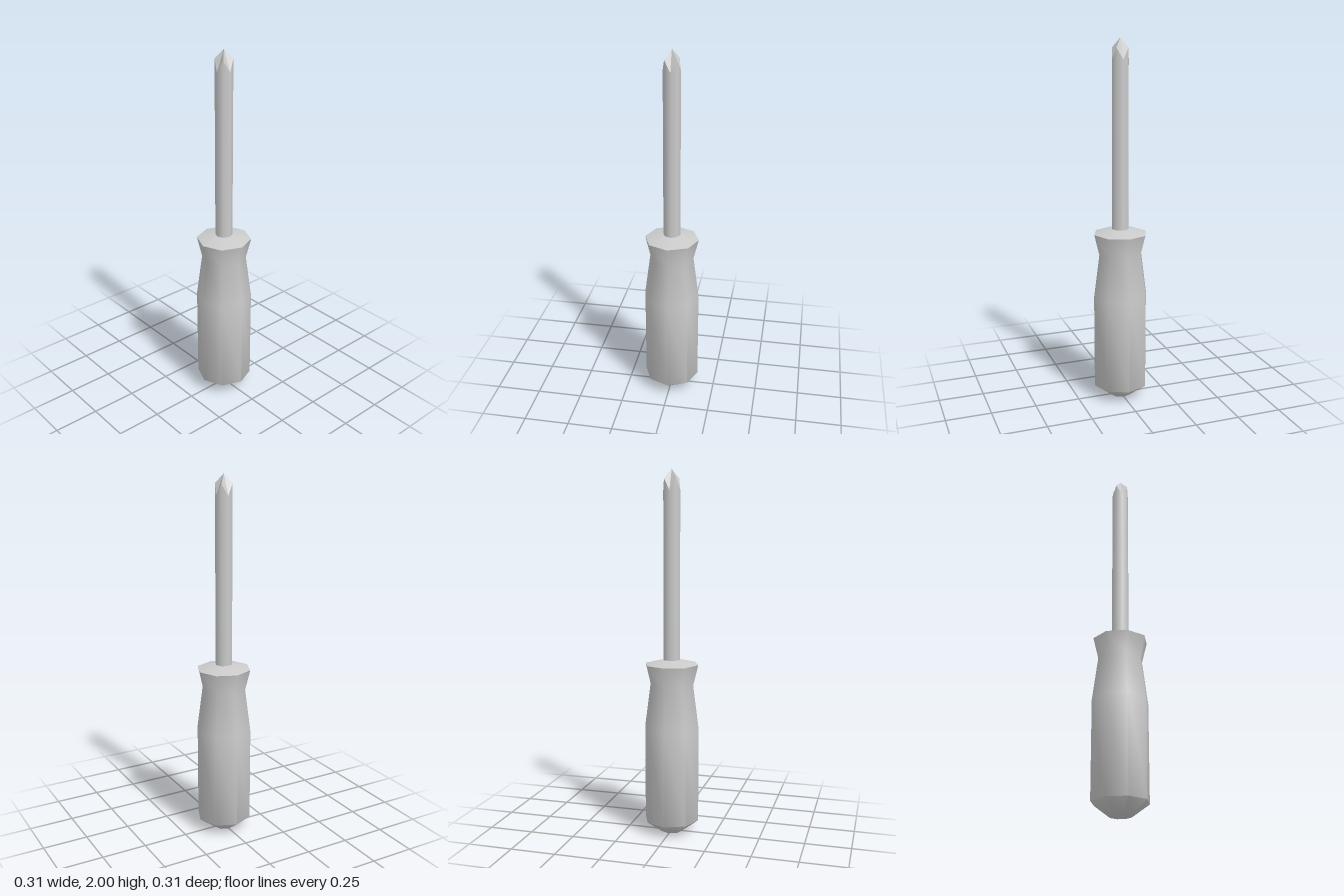
import * as THREE from 'three';
import { toCreasedNormals } from 'three/addons/utils/BufferGeometryUtils.js';

const SIDES = 8;
const SHAFT_R = 0.047;
const TIP_LOW = 1.89; // tip edge at the corners on the axes
const TIP_HIGH = 1.95; // tip edge at the diagonal corners

// Sets the ring of vertices near height y to a zigzag between the two tip heights
function zigzag(geometry, y) {
  const p = geometry.attributes.position;
  for (let i = 0; i < p.count; i++) {
    if (Math.abs(p.getY(i) - y) > 1e-4) continue;
    const onAxis = Math.min(Math.abs(p.getX(i)), Math.abs(p.getZ(i))) < 0.01;
    p.setY(i, onAxis ? TIP_LOW : TIP_HIGH);
  }
  return geometry;
}

export function createModel() {
  const group = new THREE.Group();
  group.name = 'screwdriver';
  const material = new THREE.MeshStandardMaterial({ color: 0xcccccc });
  const add = (name, geometry) => {
    const mesh = new THREE.Mesh(geometry, material);
    mesh.name = name;
    group.add(mesh);
  };

  // Eight-sided grip with a waisted neck and flared collar
  const profile = [
    [0, 0], [0.06, 0], [0.154, 0.07], [0.154, 0.6],
    [0.122, 0.84], [0.15, 0.955], [0.045, 0.98], [0, 0.98],
  ].map(([r, y]) => new THREE.Vector2(r, y));
  add('handle', toCreasedNormals(new THREE.LatheGeometry(profile, SIDES), Math.PI / 3));

  // Shaft, its upper end cut to meet the tip facets
  const bottom = 0.96;
  const length = TIP_LOW - bottom;
  const shaft = new THREE.CylinderGeometry(SHAFT_R, SHAFT_R, length, SIDES, 1, true);
  shaft.translate(0, bottom + length / 2, 0);
  add('shaft', zigzag(shaft, TIP_LOW));

  // Faceted cross tip with four ridges
  const tipHeight = 2 - TIP_LOW;
  const tip = new THREE.ConeGeometry(SHAFT_R, tipHeight, SIDES, 1, true);
  tip.translate(0, TIP_LOW + tipHeight / 2, 0);
  const facets = zigzag(tip, TIP_LOW).toNonIndexed();
  facets.computeVertexNormals();
  add('tip', facets);

  return group;
}
